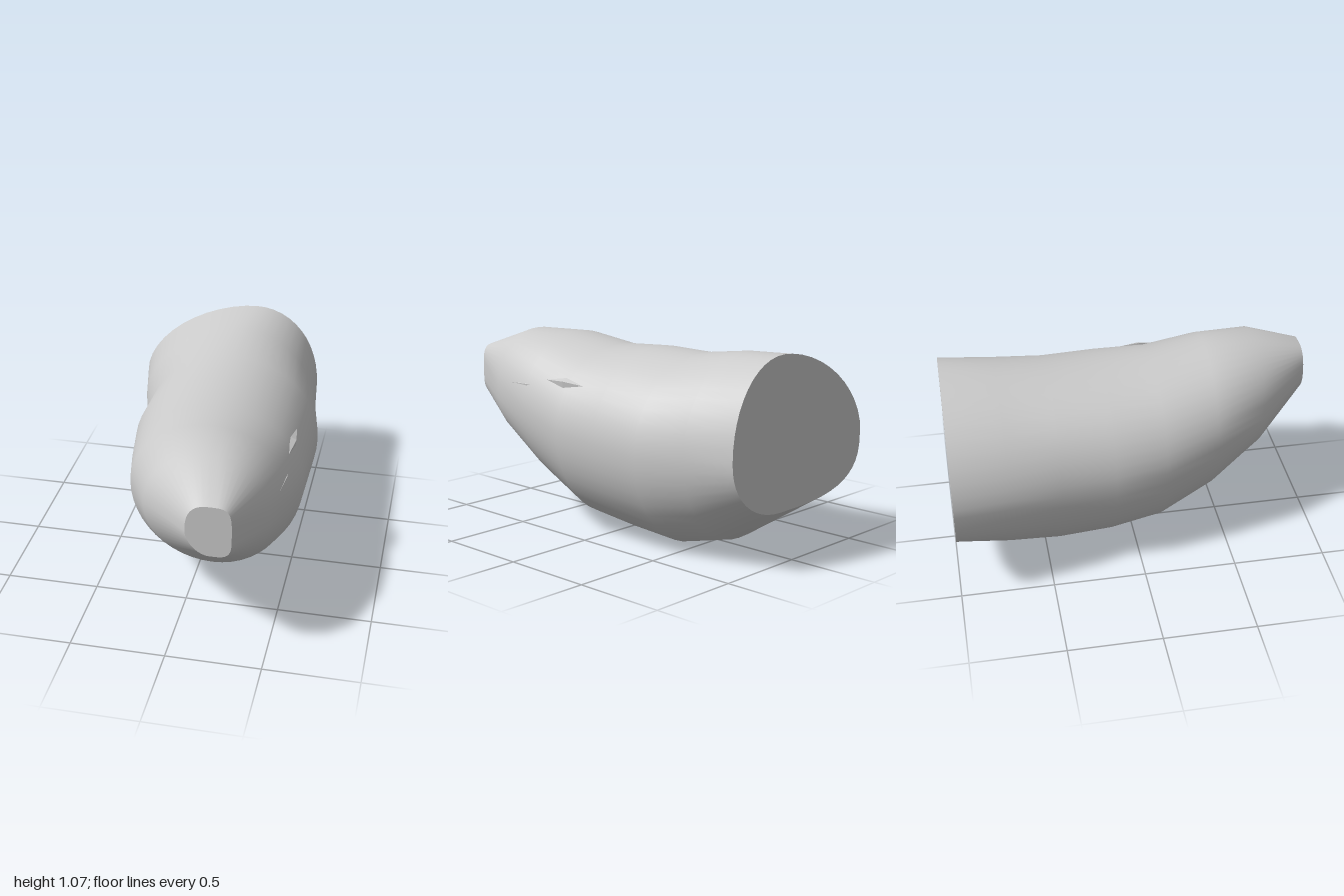
import * as THREE from 'three';

const SEGMENTS = 48;

// Cross-sections from tip to tail:
// z, min x, max x, bottom, top, x of crown, y of widest point, roundness upper left, lower left, right
const SECTIONS = [
  [1.0, 0.11, 0.34, 0.65, 0.93, 0.23, 0.78, 2.6, 1.8, 4],
  [0.71, -0.17, 0.48, 0.42, 1.04, 0.17, 0.72, 2, 2, 2.2],
  [0.43, -0.31, 0.54, 0.21, 1.045, 0.13, 0.66, 2, 2, 2],
  [0.14, -0.38, 0.565, 0.055, 1.0, 0.1, 0.58, 2, 2, 2],
  [-0.14, -0.43, 0.565, 0.02, 1.015, 0.08, 0.56, 2, 2, 2],
  [-0.43, -0.43, 0.565, 0.0, 1.01, 0.07, 0.54, 2, 2, 2],
  [-0.71, -0.51, 0.51, 0.07, 1.05, 0.07, 0.56, 1.8, 2, 2],
  [-1.0, -0.57, 0.48, 0.27, 1.07, 0.1, 0.59, 1.75, 3, 2.1],
];

// Outline of one section, made of four rounded quadrants
function ring([z, x0, x1, y0, y1, cx, cy, upperLeft, lowerLeft, right]) {
  const points = [];
  for (let j = 0; j < SEGMENTS; j++) {
    const a = (j / SEGMENTS) * Math.PI * 2;
    const c = Math.cos(a), s = Math.sin(a);
    const power = 2 / (c >= 0 ? right : s >= 0 ? upperLeft : lowerLeft);
    points.push(new THREE.Vector3(
      cx + (c >= 0 ? x1 - cx : x0 - cx) * Math.abs(c) ** power,
      cy + (s >= 0 ? y1 - cy : y0 - cy) * Math.abs(s) ** power,
      z));
  }
  return points;
}

// Smooth skin through all the rings
function skinGeometry(rings) {
  const index = [];
  for (let i = 0; i < rings.length - 1; i++) {
    for (let j = 0; j < SEGMENTS; j++) {
      const k = (j + 1) % SEGMENTS;
      const a = i * SEGMENTS + j, b = i * SEGMENTS + k;
      index.push(a, a + SEGMENTS, b, b, a + SEGMENTS, b + SEGMENTS);
    }
  }
  const geometry = new THREE.BufferGeometry().setFromPoints(rings.flat());
  geometry.setIndex(index);
  geometry.computeVertexNormals();
  return geometry;
}

// Flat end closing one ring
function capGeometry(points, facingFront) {
  const centre = new THREE.Vector3();
  points.forEach((p) => centre.addScaledVector(p, 1 / points.length));
  const index = [];
  for (let j = 0; j < SEGMENTS; j++) {
    const k = (j + 1) % SEGMENTS;
    index.push(SEGMENTS, facingFront ? j : k, facingFront ? k : j);
  }
  const geometry = new THREE.BufferGeometry().setFromPoints([...points, centre]);
  geometry.setIndex(index);
  geometry.computeVertexNormals();
  return geometry;
}

export function createModel() {
  const model = new THREE.Group();
  model.name = 'taperedBody';
  const material = new THREE.MeshStandardMaterial({ color: 0xcccccc });
  const flat = new THREE.MeshStandardMaterial({ color: 0xcccccc, flatShading: true });
  const add = (name, geometry, mat = material) => {
    const mesh = new THREE.Mesh(geometry, mat);
    mesh.name = name;
    model.add(mesh);
    return mesh;
  };

  const rings = SECTIONS.map(ring);
  add('bodySkin', skinGeometry(rings));
  add('frontTip', capGeometry(rings[0], true));
  add('backEnd', capGeometry(rings[rings.length - 1], false));

  // Two small diamond facets on the left flank
  for (const [x, y, z] of [[0.5, 0.785, 0.43], [0.5, 0.835, 0.14]]) {
    const facet = add('flankFacet', new THREE.OctahedronGeometry(1), flat);
    facet.scale.set(0.02, 0.028, 0.14);
    facet.position.set(x, y, z);
    facet.rotation.z = 0.5;
  }
  return model;
}
